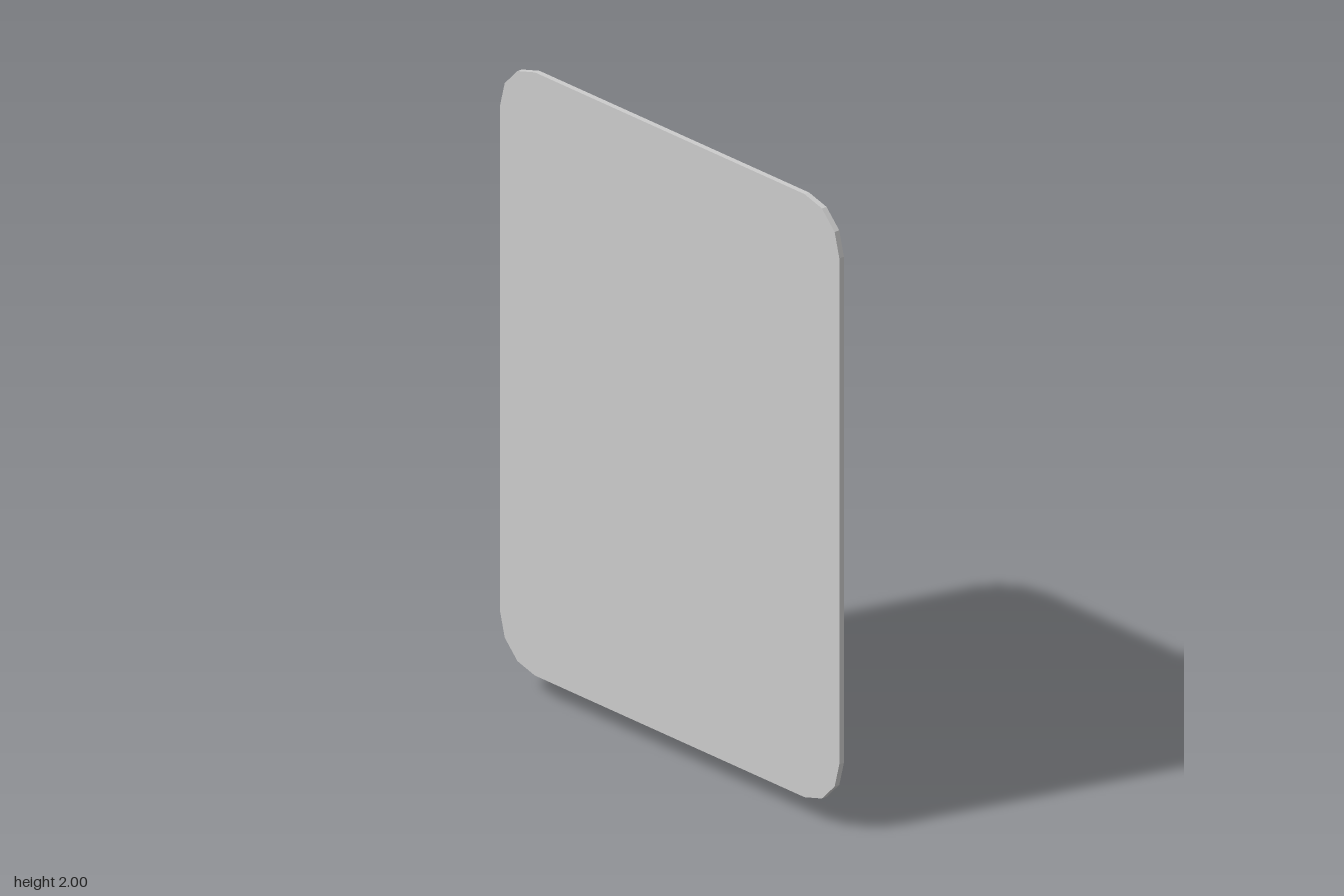
import * as THREE from 'three';

const material = new THREE.MeshStandardMaterial({ color: 0xcccccc, flatShading: true, side: THREE.DoubleSide });

// Flat plate from an outline, with optional round holes [x, y, radius, sides]
function plate(name, points, depth, holes = []) {
  const shape = new THREE.Shape(points.map(([x, y]) => new THREE.Vector2(x, y)));
  for (const [cx, cy, r, n] of holes) {
    const ring = [];
    for (let i = 0; i < n; i++) {
      const a = -(i / n) * Math.PI * 2;
      ring.push(new THREE.Vector2(cx + r * Math.cos(a), cy + r * Math.sin(a)));
    }
    shape.holes.push(new THREE.Path(ring));
  }
  const geometry = new THREE.ExtrudeGeometry(shape, { depth, bevelEnabled: false });
  const mesh = new THREE.Mesh(geometry, material);
  mesh.name = name;
  return mesh;
}

// Plate drawn in side profile (z, y), running from x to x - depth
function sidePlate(name, points, x, depth, holes) {
  const mesh = plate(name, points, depth, holes);
  mesh.rotation.y = -Math.PI / 2;
  mesh.position.x = x;
  return mesh;
}

function box(name, w, h, d, x, y, z) {
  const mesh = new THREE.Mesh(new THREE.BoxGeometry(w, h, d), material);
  mesh.name = name;
  mesh.position.set(x, y, z);
  return mesh;
}

// Rounded rectangle with three facets to each corner
function boardOutline(w, bottom, top, r) {
  const points = [];
  const corners = [[w - r, top - r], [r - w, top - r], [r - w, bottom + r], [w - r, bottom + r]];
  corners.forEach(([cx, cy], c) => {
    for (let i = 0; i <= 3; i++) {
      const a = (c + i / 3) * Math.PI / 2;
      points.push([cx + r * Math.cos(a), cy + r * Math.sin(a)]);
    }
  });
  return points;
}

export function createModel() {
  const model = new THREE.Group();
  model.name = 'clipboard';

  // Board
  const board = plate('board', boardOutline(0.755, 0.075, 2, 0.155), 0.018);
  board.position.z = 0.115;
  model.add(board);

  // Base plate with tapered lower corners, and its bent flanges
  const base = new THREE.Group();
  base.name = 'clipBase';
  const back = plate('basePlate', [[-0.36, 0.135], [-0.15, 0.085], [0.15, 0.085], [0.36, 0.135], [0.36, 0.213], [-0.36, 0.213]], 0.011);
  back.position.z = 0.104;
  base.add(back, box('lowerFlange', 0.28, 0.009, 0.11, 0, 0.106, 0.055));
  for (const s of [-1, 1]) base.add(box('upperFlange', 0.15, 0.009, 0.085, s * 0.285, 0.2085, 0.0675));
  model.add(base);

  // Sprung clip: jaw, thumb tab and side cheeks
  const clip = new THREE.Group();
  clip.name = 'clip';
  const jaw = sidePlate('jaw', [
    [-0.01, 0.272], [0.04, 0.379], [0.06, 0.399], [0.105, 0.42],
    [0.107, 0.412], [0.065, 0.392], [0.047, 0.374], [-0.003, 0.269],
  ], 0.48, 0.96);
  const tab = plate('thumbTab', [
    [-0.055, 0], [0.055, 0], [0.16, 0.106], [0.16, 0.296], [-0.16, 0.296], [-0.16, 0.106],
  ], 0.008, [[0, 0.137, 0.064, 8]]);
  tab.rotation.x = 0.4366;
  tab.position.set(0, 0.0034, -0.135);
  clip.add(jaw, tab);
  for (const x of [0.16, -0.152]) {
    clip.add(sidePlate('cheek', [[-0.068, 0.14], [0.065, 0.103], [0.11, 0.2], [0, 0.278]], x, 0.008, [[0.048, 0.14, 0.01, 8]]));
  }
  model.add(clip);
  return model;
}
